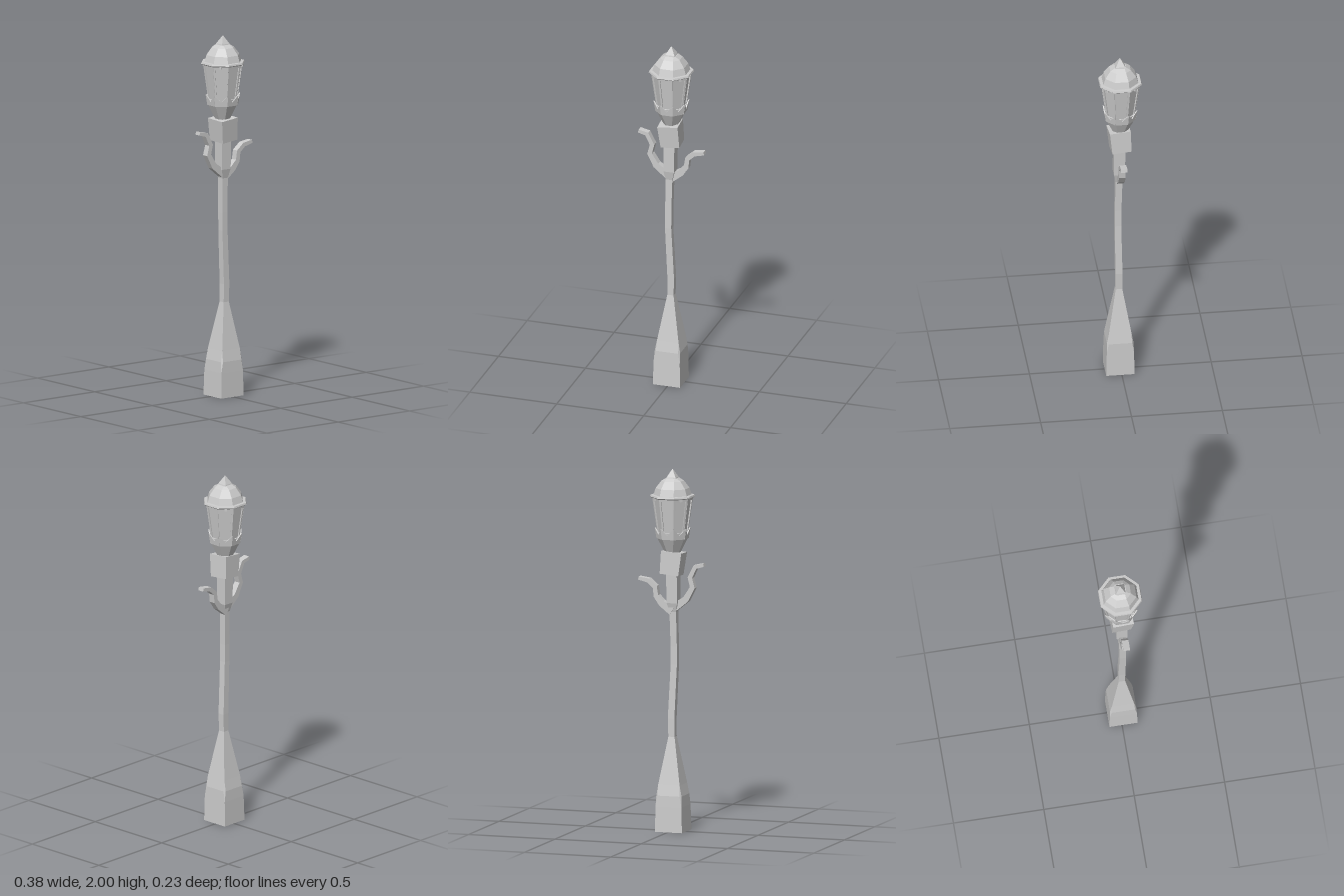
import * as THREE from 'three';

const mat = new THREE.MeshStandardMaterial({ color: 0xcccccc, flatShading: true, side: THREE.DoubleSide });

function add(parent, name, geometry) {
  const mesh = new THREE.Mesh(geometry, mat);
  mesh.name = name;
  parent.add(mesh);
  return mesh;
}

// Eight-point ring: f = 1 gives a square, f = 0.414 a regular octagon.
function ring([y, h, f = 1, x = 0, z = 0]) {
  const k = h * f;
  return [[h, -k], [h, k], [k, h], [-k, h], [-h, k], [-h, -k], [-k, -h], [k, -h]]
    .map(([px, pz]) => new THREE.Vector3(x + px, y, z + pz));
}

// Joins rings [y, half width, f, x, z] into a faceted skin with optional caps.
function loft(sections, capBottom = true, capTop = true) {
  const pos = [];
  const tri = (a, b, c) => {
    const area = b.clone().sub(a).cross(c.clone().sub(a)).length();
    if (area > 1e-9) for (const p of [a, b, c]) pos.push(p.x, p.y, p.z);
  };
  const rings = sections.map(ring);
  for (let s = 0; s + 1 < rings.length; s++) {
    for (let i = 0; i < 8; i++) {
      const j = (i + 1) % 8, lo = rings[s], hi = rings[s + 1];
      tri(lo[i], hi[i], hi[j]);
      tri(lo[i], hi[j], lo[j]);
    }
  }
  const first = rings[0], last = rings[rings.length - 1];
  for (let i = 1; i < 7; i++) {
    if (capBottom) tri(first[0], first[i], first[i + 1]);
    if (capTop) tri(last[0], last[i + 1], last[i]);
  }
  const g = new THREE.BufferGeometry();
  g.setAttribute('position', new THREE.Float32BufferAttribute(pos, 3));
  g.computeVertexNormals();
  return g;
}

const polygon = (pts) => new THREE.Shape(pts.map(([x, y]) => new THREE.Vector2(x, y)));
const extrude = (shape, depth) =>
  new THREE.ExtrudeGeometry(shape, { depth, bevelEnabled: false }).translate(0, 0, -depth / 2);

// Bent strap following points [x, y, thickness].
function strap(points, width) {
  const upper = [], lower = [];
  points.forEach(([x, y, t], i) => {
    const a = points[Math.max(i - 1, 0)], b = points[Math.min(i + 1, points.length - 1)];
    const dx = b[0] - a[0], dy = b[1] - a[1], s = t / 2 / Math.hypot(dx, dy);
    upper.push([x - dy * s, y + dx * s]);
    lower.unshift([x + dy * s, y - dx * s]);
  });
  return extrude(polygon([...upper, ...lower]), width);
}

export function createModel() {
  const model = new THREE.Group();
  model.name = 'streetLamp';

  // Flared square foot, open underneath, with nicked corners
  add(model, 'base', loft([
    [0, 0.078, 1, -0.006, 0.008],
    [0.14, 0.075, 1, -0.005, 0.008],
    [0.2, 0.073, 0.88, -0.004, 0.008],
    [0.26, 0.062, 1, -0.003, 0.008],
    [0.52, 0.018, 1, -0.002, 0.009],
  ], false, false));

  // Slightly crooked square pole, thicker at the top
  add(model, 'pole', loft([
    [0.52, 0.018, 1, -0.002, 0.009],
    [0.62, 0.019, 1, 0, 0.009],
    [0.92, 0.018, 1, -0.014, 0.013],
    [1.02, 0.018, 1, -0.014, 0.012],
    [1.21, 0.019, 1, -0.01, 0.008],
    [1.26, 0.03, 1, -0.009, 0.007],
    [1.54, 0.032, 1, -0.006, 0.004],
  ], false, true));

  // Curled side brackets
  const rightArm = add(model, 'rightBracket', strap([
    [-0.005, 1.225, 0.045], [-0.085, 1.285, 0.036], [-0.122, 1.35, 0.028],
    [-0.108, 1.405, 0.026], [-0.138, 1.465, 0.024], [-0.187, 1.477, 0.018],
  ], 0.036));
  rightArm.position.z = 0.009;
  const leftArm = add(model, 'leftBracket', strap([
    [-0.005, 1.215, 0.045], [0.055, 1.257, 0.036], [0.085, 1.295, 0.028],
    [0.092, 1.345, 0.026], [0.13, 1.378, 0.024], [0.187, 1.389, 0.018],
  ], 0.036));
  leftArm.position.z = 0.001;

  // Crooked square collar under the lantern
  const collar = add(model, 'collar', loft([[-0.063, 0.053], [0.063, 0.058]]));
  collar.position.set(-0.005, 1.48, 0.004);
  collar.rotation.set(0.06, 0.06, 0.09);

  const lantern = new THREE.Group();
  lantern.name = 'lantern';
  lantern.position.set(-0.005, 0, 0.001);
  model.add(lantern);

  const OCT = 0.414;
  add(lantern, 'cup', loft([[1.525, 0.034, OCT], [1.62, 0.078, OCT], [1.64, 0.08, OCT]]));
  add(lantern, 'glass', loft([[1.63, 0.069, OCT], [1.85, 0.097, OCT]]));

  // Eight framed panes with a notched crown plate below each
  const frameShape = polygon([[-0.031, 0], [0.031, 0], [0.042, 0.205], [-0.042, 0.205]]);
  frameShape.holes.push(polygon([[-0.023, 0.012], [-0.032, 0.192], [0.032, 0.192], [0.023, 0.012]]));
  const frameGeo = extrude(frameShape, 0.008);
  const crownGeo = extrude(polygon([
    [-0.033, 0], [0.033, 0], [0.037, 0.06], [0.026, 0.05], [0, 0.022], [-0.026, 0.05], [-0.037, 0.06],
  ]), 0.006);
  for (let i = 0; i < 8; i++) {
    const side = new THREE.Group();
    side.name = 'lanternSide';
    side.rotation.y = i * Math.PI / 4;
    lantern.add(side);
    const frame = add(side, 'paneFrame', frameGeo);
    frame.position.set(0, 1.64, 0.073);
    frame.rotation.x = 0.13;
    const crown = add(side, 'crownPlate', crownGeo);
    crown.position.set(0, 1.618, 0.079);
    crown.rotation.x = 0.15;
    // Small lugs under the rim on the diagonal sides
    if (i % 2) {
      const lug = add(side, 'rimLug', new THREE.BoxGeometry(0.012, 0.015, 0.012));
      lug.position.set(0, 1.838, 0.106);
    }
  }

  // Rim, domed roof and pointed finial
  add(lantern, 'rim', loft([[1.842, 0.108, OCT], [1.848, 0.115, OCT], [1.857, 0.112, OCT], [1.858, 0.098, OCT]]));
  add(lantern, 'roof', loft([[1.855, 0.097, OCT], [1.895, 0.085, 0.44], [1.935, 0.056, 0.48], [1.95, 0.032, 0.7]]));
  add(lantern, 'finial', loft([[1.938, 0.031], [1.955, 0.026], [2, 0.0005]]));

  return model;
}
